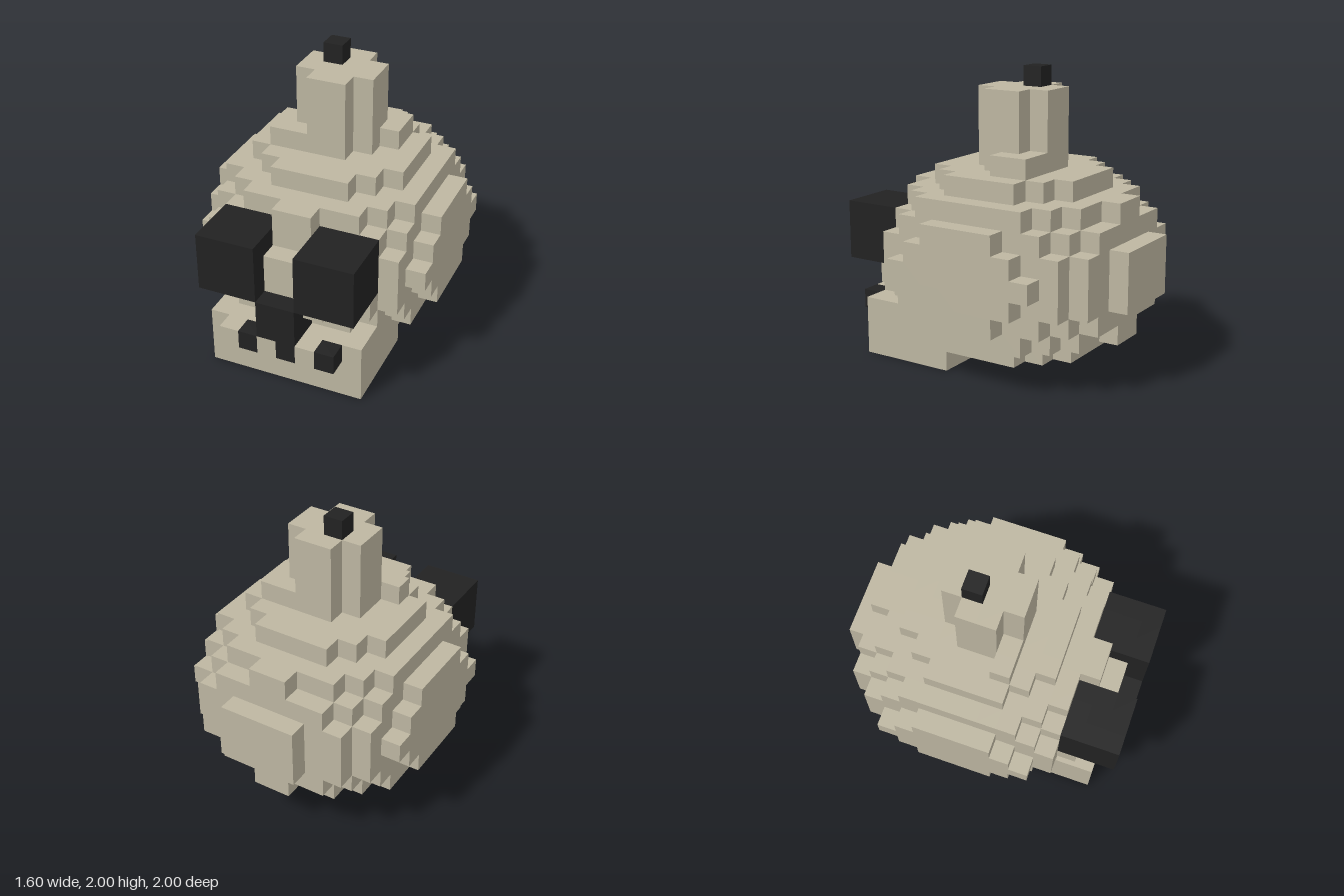
import * as THREE from 'three';

const U = 2 / 15; // edge of one cube

// Six faces of a cube: normal and four corners, counter-clockwise from outside
const FACES = [];
for (let axis = 0; axis < 3; axis++) {
  for (const side of [0, 1]) {
    const normal = [0, 0, 0];
    normal[axis] = side ? 1 : -1;
    const corners = [[0, 0], [1, 0], [1, 1], [0, 1]].map(([a, b]) => {
      const c = [0, 0, 0];
      c[axis] = side;
      c[(axis + 1) % 3] = a;
      c[(axis + 2) % 3] = b;
      return c;
    });
    if (!side) corners.reverse();
    FACES.push({ normal, corners });
  }
}

export function createModel() {
  const bone = new THREE.MeshStandardMaterial({ color: 0xbdb6a1 });
  bone.name = 'bone';
  const black = new THREE.MeshStandardMaterial({ color: 0x222222 });
  black.name = 'black';
  const materials = {
    skull: bone, jaw: bone, crest: bone, gums: bone,
    rightEye: black, leftEye: black, nose: black, teeth: black, crestTip: black,
  };

  // Grid of cubes: x -6..5, y 0..14, z 0 (back) .. 14 (front); later parts replace earlier ones
  const cells = new Map();
  const key = (x, y, z) => `${x},${y},${z}`;
  const fill = (part, x0, x1, y0, y1, z0, z1, keep = () => true) => {
    for (let x = x0; x <= x1; x++)
      for (let y = y0; y <= y1; y++)
        for (let z = z0; z <= z1; z++)
          if (keep(x, y, z)) cells.set(key(x, y, z), { part, p: [x, y, z] });
  };

  // Skull: stepped ellipsoid
  fill('skull', -6, 5, 1, 9, 0, 13, (x, y, z) =>
    ((x + 0.5) / 6.4) ** 2 + ((y - 5) / 5) ** 2 + ((z - 6.5) / 7) ** 2 <= 1);

  // Jaw block with a gum ridge holding the teeth
  fill('jaw', -4, 3, 0, 2, 9, 13);
  fill('gums', -3, 2, 2, 2, 14, 14);
  for (const x of [-2, 0, 2]) fill('teeth', x, x, 2, 2, 14, 14);

  // Crest: column with notched corners, and two small steps at its foot
  fill('crest', -2, 1, 10, 13, 5, 8, (x, y, z) => !((x === -2 || x === 1) && (z === 5 || z === 8)));
  fill('crest', -3, -2, 10, 10, 8, 8);
  fill('crest', 2, 2, 10, 10, 5, 6);
  fill('crest', 1, 1, 10, 10, 5, 5);
  fill('crestTip', -1, -1, 14, 14, 6, 6);

  // Eyes and nose
  fill('rightEye', -4, -2, 5, 7, 12, 14);
  fill('leftEye', 1, 3, 5, 7, 12, 14);
  fill('nose', -1, 0, 3, 3, 13, 14);
  fill('nose', -1, 0, 4, 4, 14, 14);

  // Surface of each part: only the faces not covered by a neighbouring cube
  const surfaces = {};
  for (const { part, p } of cells.values()) {
    const s = (surfaces[part] ??= { position: [], normal: [] });
    for (const { normal, corners } of FACES) {
      if (cells.has(key(p[0] + normal[0], p[1] + normal[1], p[2] + normal[2]))) continue;
      for (const i of [0, 1, 2, 0, 2, 3]) {
        const c = corners[i];
        s.position.push((p[0] + c[0]) * U, (p[1] + c[1]) * U, (p[2] + c[2]) * U - 1);
        s.normal.push(...normal);
      }
    }
  }

  const model = new THREE.Group();
  model.name = 'blockSkull';
  for (const [part, s] of Object.entries(surfaces)) {
    const geometry = new THREE.BufferGeometry();
    geometry.setAttribute('position', new THREE.Float32BufferAttribute(s.position, 3));
    geometry.setAttribute('normal', new THREE.Float32BufferAttribute(s.normal, 3));
    const mesh = new THREE.Mesh(geometry, materials[part]);
    mesh.name = part;
    model.add(mesh);
  }
  return model;
}
